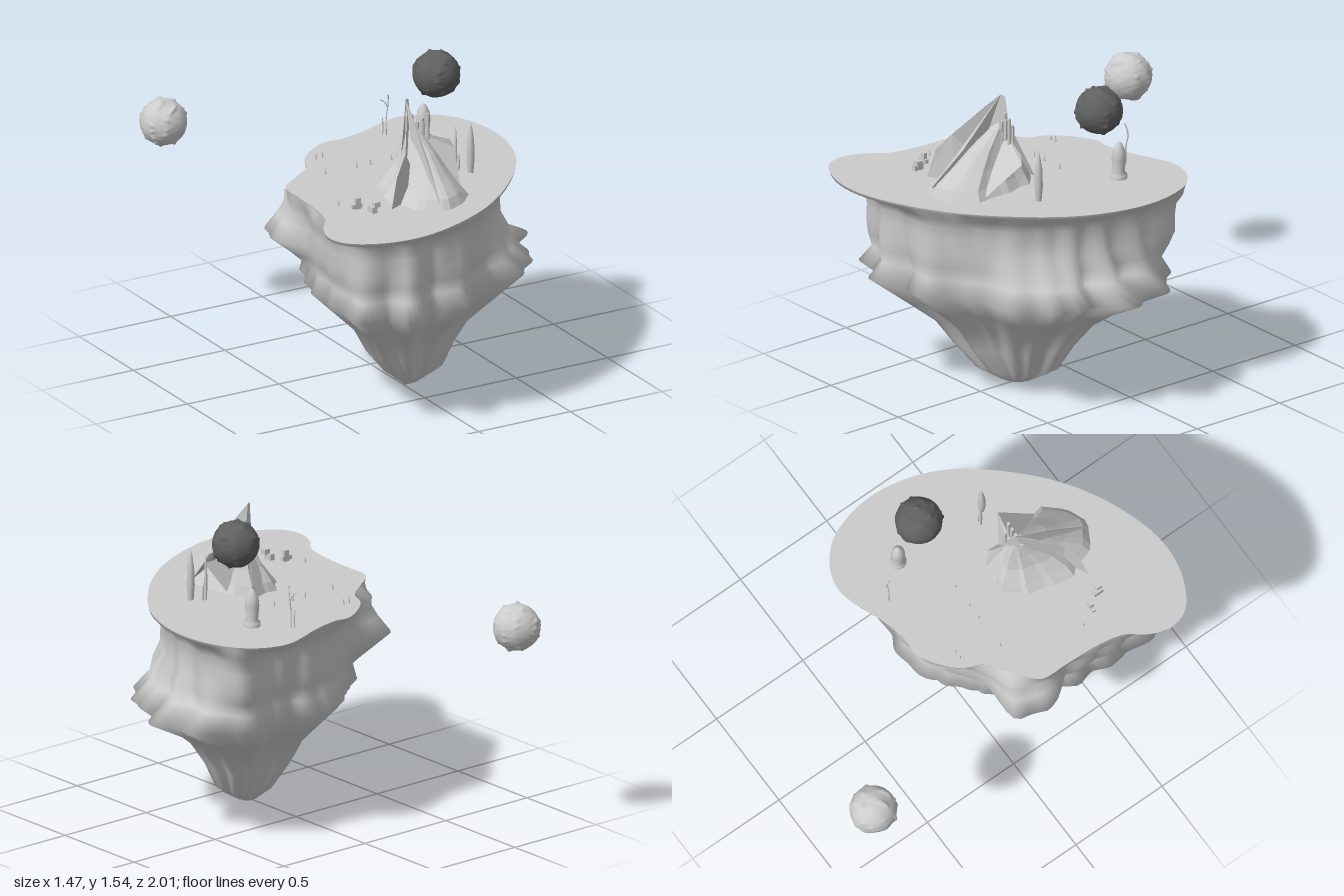
import * as THREE from 'three';
import { mergeVertices } from 'three/addons/utils/BufferGeometryUtils.js';

const GROUND = 1.045;
const CENTER_Z = 0.31;
const V = (x, y, z) => new THREE.Vector3(x, y, z);

const grey = new THREE.MeshStandardMaterial({ color: 0xcccccc, side: THREE.DoubleSide });
const rock = new THREE.MeshStandardMaterial({ color: 0xcccccc, flatShading: true, side: THREE.DoubleSide });
const dark = new THREE.MeshStandardMaterial({ color: 0x606060 });

// seeded random
function seeded(s) {
  return () => {
    s = (s * 16807) % 2147483647;
    return s / 2147483647;
  };
}

// skin over closed rings of equal length, listed from top to bottom
function loft(rings) {
  const n = rings[0].length, index = [];
  for (let r = 0; r < rings.length - 1; r++) {
    for (let i = 0; i < n; i++) {
      const a = r * n + i, b = r * n + (i + 1) % n;
      index.push(a, b, a + n, b, b + n, a + n);
    }
  }
  const geo = new THREE.BufferGeometry().setFromPoints(rings.flat());
  geo.setIndex(index);
  geo.computeVertexNormals();
  return geo;
}

// value of a closed list of radii at an angle, smoothly blended
function radiusAt(list, angle) {
  const t = ((angle / (2 * Math.PI)) % 1 + 1) % 1 * list.length;
  const i = Math.floor(t), f = t - i, w = f * f * (3 - 2 * f);
  return list[i % list.length] * (1 - w) + list[(i + 1) % list.length] * w;
}

// island plateau outline in x, z
const RIM = [
  [0.37, -0.38], [0.48, -0.355], [0.59, -0.265], [0.65, -0.13], [0.67, 0.02], [0.645, 0.2], [0.56, 0.4],
  [0.375, 0.63], [0.165, 0.81], [-0.075, 0.935], [-0.31, 0.995], [-0.5, 0.975], [-0.655, 0.885], [-0.69, 0.78],
  [-0.655, 0.67], [-0.59, 0.58], [-0.56, 0.45], [-0.55, 0.265], [-0.54, 0.13], [-0.42, 0.03], [-0.32, -0.05],
  [-0.285, -0.13], [-0.22, -0.2], [-0.085, -0.28], [-0.02, -0.27], [0.14, -0.305], [0.27, -0.355],
];
// radii of the upper wall and of the belly every 15 degrees, from +x towards +z
const WALL = [
  0.53, 0.48, 0.46, 0.44, 0.45, 0.5, 0.54, 0.58, 0.65, 0.71, 0.66, 0.58,
  0.53, 0.55, 0.56, 0.5, 0.49, 0.5, 0.54, 0.58, 0.65, 0.8, 0.68, 0.58,
];
const BELLY = [
  0.62, 0.62, 0.58, 0.5, 0.46, 0.5, 0.54, 0.58, 0.66, 0.7, 0.64, 0.54,
  0.49, 0.47, 0.48, 0.45, 0.46, 0.5, 0.54, 0.56, 0.62, 0.74, 0.74, 0.68,
];
// height, scale, fold depth, share of the belly radii, reach of the back spur
const LEVELS = [
  [0.985, 1.01, 0.005, 0, 0], [0.94, 0.97, 0.01, 0, 0.02], [0.88, 0.96, 0.015, 0, 0.06], [0.8, 0.96, 0.025, 0, 0.12],
  [0.73, 0.95, 0.035, 0.4, 0.06], [0.66, 0.92, 0.05, 0.7, 0], [0.58, 1, 0.07, 1, 0], [0.46, 0.76, 0.06, 1, 0],
  [0.34, 0.53, 0.04, 1, 0], [0.22, 0.4, 0.035, 1, 0], [0.1, 0.27, 0.025, 1, 0], [0.03, 0.1, 0.01, 1, 0], [0, 0, 0, 1, 0],
];
const edge = new THREE.CatmullRomCurve3(RIM.map(([x, z]) => V(x, GROUND, z)), true).getSpacedPoints(144).slice(0, 144);

function islandRock() {
  // irregular vertical folds, with spurs at the sides
  const fold = a => Math.abs(Math.sin(5.5 * a + 0.9 * Math.sin(3 * a))) - 0.6 + 0.4 * Math.sin(17 * a + 2 * Math.sin(2 * a));
  const bump = (a, at, w) => {
    const d = Math.abs(Math.atan2(Math.sin(a - at), Math.cos(a - at)));
    return Math.min(1, Math.max(0, 1.4 * (1 - d / w)));
  };
  const rings = [edge, edge.map(p => V(p.x * 0.993, 1.03, CENTER_Z + (p.z - CENTER_Z) * 0.993))];
  for (const [y, scale, depth, belly, spur] of LEVELS) {
    rings.push(edge.map(p => {
      const a = Math.atan2(p.z - CENTER_Z, p.x);
      const base = THREE.MathUtils.lerp(radiusAt(WALL, a), radiusAt(BELLY, a), belly);
      let r = base * scale + fold(a) * depth * 0.6 + spur * bump(a, 3.57, 0.4);
      if (y === 0.58) r += 0.08 * bump(a, -0.4, 0.2) + 0.08 * bump(a, -0.14, 0.15);
      r = Math.max(r, 0);
      return V(Math.cos(a) * r + (y < 0.2 && y > 0.02 ? 0.03 : 0), y, CENTER_Z + Math.sin(a) * r);
    }));
  }
  return loft(rings);
}

// mountain core: height, centre x, centre z, half width, half depth
const CORE = [
  [1.34, 0, 0.39, 0, 0], [1.32, 0, 0.39, 0.03, 0.035], [1.24, 0, 0.43, 0.065, 0.11],
  [1.16, -0.005, 0.46, 0.105, 0.17], [1.09, -0.015, 0.48, 0.155, 0.235], [GROUND, -0.02, 0.485, 0.195, 0.255],
];
function mountainCore() {
  const rand = seeded(41), n = 22;
  const jag = Array.from({ length: n }, () => 0.85 + rand() * 0.25);
  return loft(CORE.map(([y, cx, cz, rx, rz]) => jag.map((j, i) => {
    const a = (i + (i % 2) * 0.4) / n * 2 * Math.PI;
    return V(cx + Math.cos(a) * rx * j, y, cz + Math.sin(a) * rz * j);
  })));
}

// flat rock plate fanned from its first corner
function plate(corners) {
  const geo = new THREE.BufferGeometry().setFromPoints(corners.map(c => V(...c)));
  const index = [];
  for (let i = 1; i < corners.length - 1; i++) index.push(0, i, i + 1);
  geo.setIndex(index);
  geo.computeVertexNormals();
  return geo;
}
const PLATES = [
  // tall slab from the summit down the left slope
  [[-0.02, 1.47, 0.36], [-0.05, 1.42, 0.42], [-0.14, 1.28, 0.56], [-0.1, 1.16, 0.5], [0, 1.2, 0.4]],
  [[-0.14, 1.28, 0.56], [-0.21, 1.19, 0.6], [-0.25, GROUND, 0.62], [-0.12, GROUND, 0.56], [-0.08, 1.2, 0.5]],
  [[-0.02, 1.47, 0.36], [0, 1.46, 0.35], [0.03, 1.25, 0.34], [-0.07, 1.2, 0.4]],
  // right wing
  [[0.02, 1.3, 0.37], [0.19, 1.24, 0.41], [0.21, 1.2, 0.42], [0.14, GROUND, 0.6], [0.03, 1.1, 0.45]],
  [[0.04, 1.22, 0.36], [0.21, 1.2, 0.42], [0.12, 1.05, 0.36], [0.03, 1.05, 0.32]],
  // back and front ridges
  [[0.02, 1.32, 0.34], [0.06, GROUND, 0.22], [-0.04, GROUND, 0.25]],
  [[-0.02, 1.47, 0.36], [-0.03, 1.24, 0.58], [-0.06, 1.08, 0.75], [-0.05, 1.1, 0.5]],
];

// round ball with small ragged ridges
function moonGeometry(radius, seed) {
  let geo = new THREE.IcosahedronGeometry(radius, 14);
  geo.deleteAttribute('normal');
  geo.deleteAttribute('uv');
  geo = mergeVertices(geo);
  const p = geo.attributes.position, v = V(0, 0, 0);
  for (let i = 0; i < p.count; i++) {
    v.fromBufferAttribute(p, i);
    const d = v.clone().divideScalar(radius);
    const wave = Math.sin(9 * d.x + 3 * Math.sin(7 * d.y + seed)) * Math.sin(10 * d.y + seed + 4 * d.z) + Math.sin(11 * d.z + 5 * d.x);
    v.multiplyScalar(0.975 + 0.008 * wave + 0.1 * Math.max(0, wave - 1.2));
    p.setXYZ(i, v.x, v.y, v.z);
  }
  geo.computeVertexNormals();
  return geo;
}

const lathe = (profile, sides = 16) => new THREE.LatheGeometry(profile.map(([r, y]) => new THREE.Vector2(r, y)), sides);

export function createModel() {
  const model = new THREE.Group();
  const add = (name, geo, mat, x = 0, y = 0, z = 0, parent = model) => {
    const mesh = new THREE.Mesh(geo, mat);
    mesh.name = name;
    mesh.position.set(x, y, z);
    parent.add(mesh);
  };
  const group = name => {
    const g = new THREE.Group();
    g.name = name;
    model.add(g);
    return g;
  };

  // floating island: folded rock and flat plateau
  add('islandRock', islandRock(), grey);
  add('plateau', loft([edge.map(() => V(0, GROUND, CENTER_Z)), edge]), grey);

  // jagged mountain with slabs and a cluster of columns
  const peak = group('mountain');
  add('mountainCore', mountainCore(), rock, 0, 0, 0, peak);
  PLATES.forEach(c => add('rockPlate', plate(c), rock, 0, 0, 0, peak));
  for (let i = 0; i < 6; i++) {
    const top = 1.385 - 0.015 * ((i * 2) % 5), z = 0.36 + 0.03 * (i % 2);
    add('rockColumn', new THREE.CylinderGeometry(0.009, 0.012, top - 1.15, 6), rock, 0.01 + i * 0.014, (top + 1.15) / 2, z, peak);
  }

  // hovering balls
  add('darkMoon', moonGeometry(0.115, 1), dark, 0.33, 1.42, 0.05);
  add('paleMoon', moonGeometry(0.115, 4), grey, -0.605, 1.045, -0.89);

  // domed tower on a round foot
  add('domedTower', lathe([[0.04, 0], [0.04, 0.02], [0.028, 0.03], [0.034, 0.1], [0.03, 0.14], [0.014, 0.175], [0, 0.185]]),
    grey, 0.33, GROUND, -0.07);

  // spires, tallest one swollen
  const spires = group('spires');
  [[0.31, 0.4, 0.25, 0.02], [0.255, 0.355, 0.23, 0.008], [0.272, 0.355, 0.09, 0.006]].forEach(([x, z, h, r]) =>
    add('spire', lathe([[r * 0.7, 0], [r, h * 0.3], [r * 0.85, h * 0.65], [r * 0.4, h * 0.88], [0, h]], 10), grey, x, GROUND, z, spires));

  // bare tree
  const tree = group('bareTree');
  const branches = [
    [[0.21, GROUND, -0.21], [0.21, 1.13, -0.21], [0.222, 1.19, -0.215], [0.215, 1.25, -0.2]],
    [[0.195, GROUND, -0.22], [0.198, 1.08, -0.22], [0.195, 1.13, -0.22]],
    [[0.22, 1.18, -0.213], [0.205, 1.21, -0.22], [0.19, 1.22, -0.23]],
  ];
  branches.forEach(b => add('branch',
    new THREE.TubeGeometry(new THREE.CatmullRomCurve3(b.map(p => V(...p))), 8, 0.003, 5), grey, 0, 0, 0, tree));

  // small pointed stakes
  const stakes = group('stakes');
  [[-0.23, -0.115], [-0.195, -0.115], [-0.29, 0.075], [-0.12, 0.075], [-0.045, 0.075], [0.07, 0.075], [-0.44, 0.45]].forEach(([x, z]) =>
    add('stake', new THREE.ConeGeometry(0.005, 0.033, 6), grey, x, GROUND + 0.016, z, stakes));

  // block plants: x, y, z, width, height, depth
  const blocks = group('blockPlants');
  [[-0.385, 1.06, 0.53, 0.025, 0.03, 0.02], [-0.39, 1.06, 0.53, 0.055, 0.02, 0.018], [-0.385, 1.085, 0.53, 0.025, 0.03, 0.02],
    [-0.345, 1.06, 0.6, 0.025, 0.03, 0.05], [-0.33, 1.085, 0.61, 0.03, 0.025, 0.03], [-0.345, 1.065, 0.59, 0.025, 0.02, 0.03]]
    .forEach(([x, y, z, w, h, d]) => add('block', new THREE.BoxGeometry(w, h, d), rock, x, y, z, blocks));

  return model;
}
